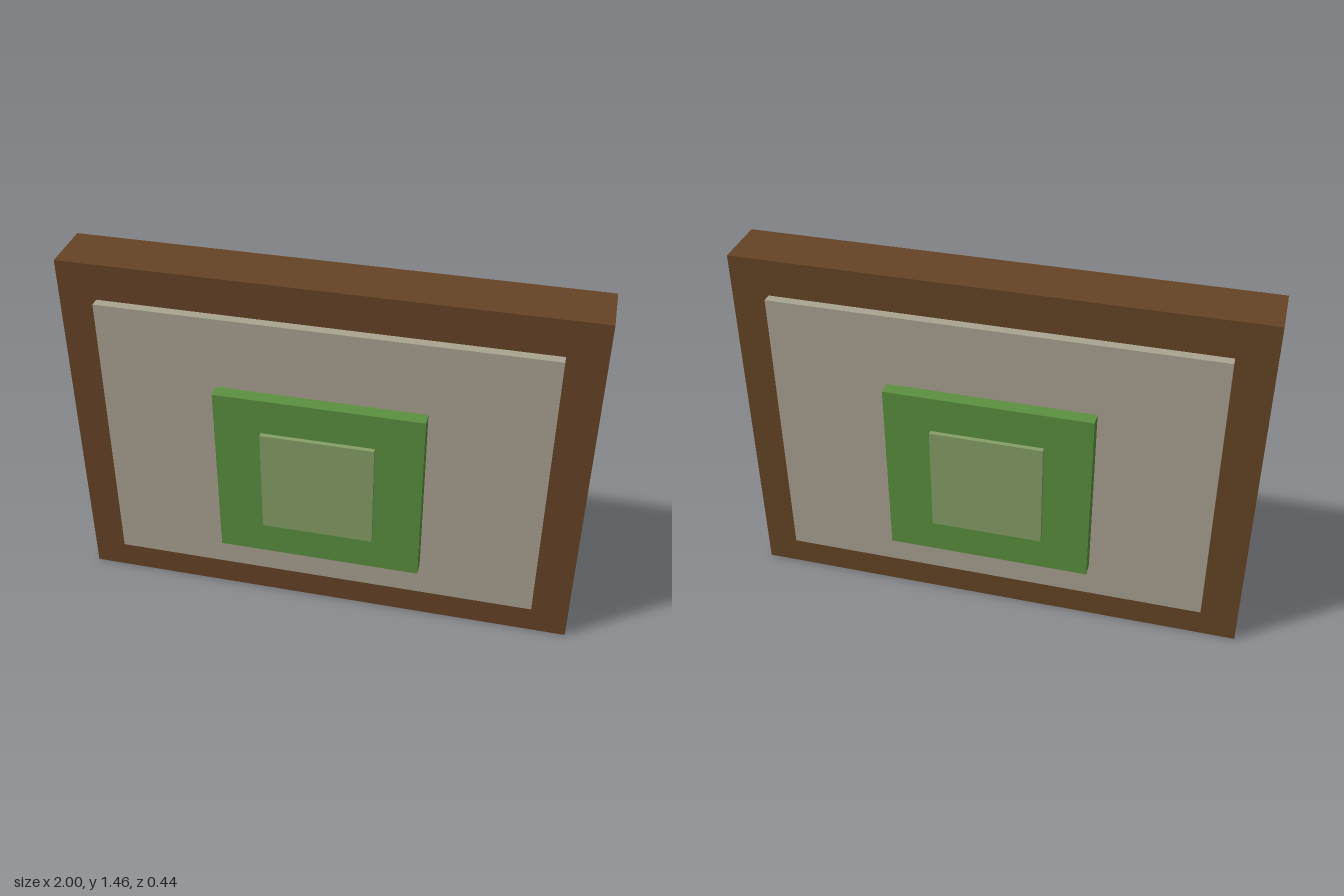
import * as THREE from 'three';

// Concentric slabs: each one is smaller and deeper than the last, so it steps out on both faces.
// name, width, height, depth, centre height, color
const SLABS = [
  ['frame', 2, 1.455, 0.218, 0.7275, 0x664426],
  ['panel', 1.709, 1.164, 0.291, 0.7275, 0xaaa391],
  ['raisedSquare', 0.8, 0.727, 0.4, 0.655, 0x5b903f],
  ['centreInlay', 0.436, 0.436, 0.436, 0.655, 0x869f67],
];

export function createModel() {
  const model = new THREE.Group();
  model.name = 'framedPanel';
  for (const [name, width, height, depth, y, color] of SLABS) {
    const slab = new THREE.Mesh(
      new THREE.BoxGeometry(width, height, depth),
      new THREE.MeshStandardMaterial({ color })
    );
    slab.name = name;
    slab.position.y = y;
    model.add(slab);
  }
  return model;
}
